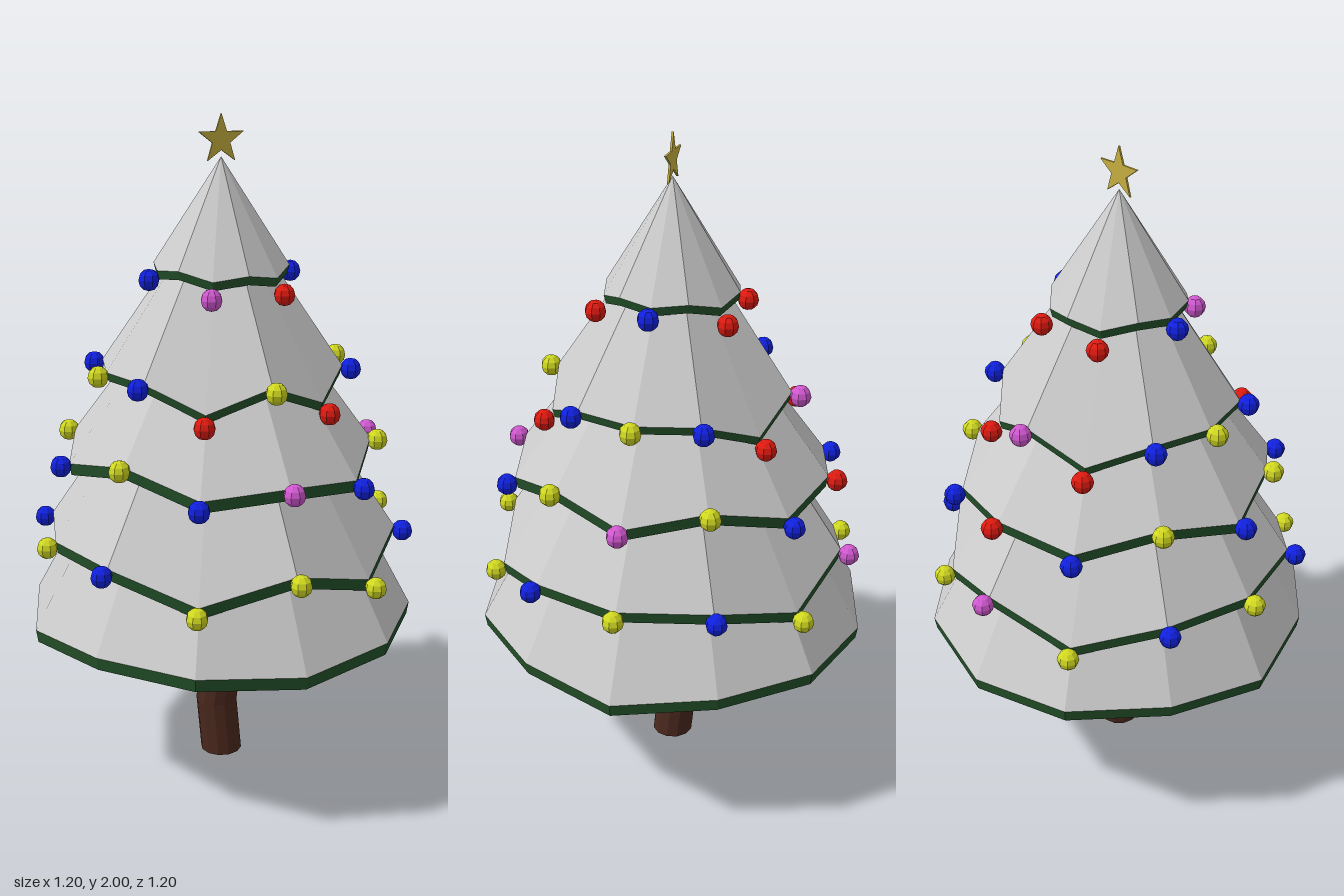
import * as THREE from 'three';

const SIDES = 12;
const mat = (color) => new THREE.MeshStandardMaterial({ color, flatShading: true });

// ring of points around the y axis; r and y may vary with the index
const ring = (r, y, cx = 0, cz = 0) => Array.from({ length: SIDES }, (_, i) => {
  const a = (i / SIDES) * Math.PI * 2;
  const rr = typeof r === 'function' ? r(i) : r;
  const yy = typeof y === 'function' ? y(i) : y;
  return [cx + rr * Math.cos(a), yy, cz + rr * Math.sin(a)];
});

// faceted skin through rings listed from underside to top
function loft(rings) {
  const pos = rings.flat(2);
  const index = [];
  for (let k = 0; k < rings.length - 1; k++) {
    for (let i = 0; i < SIDES; i++) {
      const j = (i + 1) % SIDES;
      const a = k * SIDES + i, b = k * SIDES + j, c = a + SIDES, d = b + SIDES;
      index.push(a, c, d, a, d, b);
    }
  }
  const g = new THREE.BufferGeometry();
  g.setAttribute('position', new THREE.Float32BufferAttribute(pos, 3));
  g.setIndex(index);
  g.computeVertexNormals();
  return g;
}

// the wavy rims repeat each quarter as 0, 30, 60, 90 degrees, mirrored
const quarter = (values) => (i) => values[i % 6 <= 3 ? i % 6 : 6 - (i % 6)];

// rim radius and height per quarter, apex height, bauble colours, radii and heights
const TIERS = [
  { r: [0.6, 0.585, 0.6, 0.6], y: [0.515, 0.535, 0.53, 0.515], apex: 1.6, thick: 0.038 },
  { r: [0.53, 0.53, 0.53, 0.53], y: [0.785, 0.785, 0.71, 0.785], apex: 1.56, thick: 0.035,
    baubles: 'YBYYYBYBYMYB', br: [0.555, 0.555, 0.555, 0.555], by: [0.77, 0.77, 0.69, 0.77] },
  { r: [0.48, 0.45, 0.48, 0.48], y: [1.02, 1.06, 1.0, 1.025], apex: 1.66, thick: 0.035,
    baubles: 'MYBMBYBYBRBY', br: [0.505, 0.47, 0.505, 0.505], by: [1.015, 1.055, 0.98, 1.015] },
  { r: [0.36, 0.36, 0.36, 0.36], y: [1.28, 1.28, 1.21, 1.28], apex: 1.8, thick: 0.025,
    baubles: 'YBRYRBYBRMRB', br: [0.385, 0.385, 0.385, 0.385], by: [1.27, 1.27, 1.18, 1.27] },
  { r: [0.2, 0.2, 0.2, 0.2], y: [1.565, 1.575, 1.55, 1.565], apex: 1.88, thick: 0.025,
    baubles: 'B R M B R R ', br: [0.225, 0.225, 0.225, 0.225], by: [1.54, 1.54, 1.505, 1.54] },
];

export function createModel() {
  const model = new THREE.Group();
  const add = (parent, name, geometry, material) => {
    const mesh = new THREE.Mesh(geometry, material);
    mesh.name = name;
    parent.add(mesh);
    return mesh;
  };

  const snow = mat(0xcccccc), green = mat(0x24522a);
  const baubleMats = { R: mat(0xdd1a10), B: mat(0x1020dd), Y: mat(0xd0d820), M: mat(0xd058d0) };
  const ball = new THREE.SphereGeometry(0.032, 8, 6);

  // crooked trunk
  add(model, 'trunk', loft([
    ring(0, 0),
    ring(0.065, 0),
    ring(0.065, 0.17, -0.01, -0.015),
    ring(0.066, 0.34, 0.007, 0),
    ring(0.062, 0.56, 0, 0.022),
  ]), mat(0x4a281d));

  // tiers: pale cone, green rim and underside, baubles at the rim corners
  TIERS.forEach((t, n) => {
    const tier = new THREE.Group();
    tier.name = 'tier' + (n + 1);
    const r = quarter(t.r), y = quarter(t.y);
    const rimTop = ring(r, y);
    const rimBottom = ring((i) => r(i) - 0.006, (i) => y(i) - t.thick);
    add(tier, 'snowCone', loft([rimTop, ring(0, t.apex)]), snow);
    add(tier, 'greenRim', loft([ring(0, t.y[0] + 0.01), rimBottom, rimTop]), green);

    if (t.baubles) {
      const spots = ring(quarter(t.br), quarter(t.by));
      [...t.baubles].forEach((c, i) => {
        if (c !== ' ') add(tier, 'bauble', ball, baubleMats[c]).position.set(...spots[i]);
      });
    }
    model.add(tier);
  });

  // thin five-pointed star
  const points = Array.from({ length: 10 }, (_, i) => {
    const a = Math.PI / 2 + (i * Math.PI) / 5, d = i % 2 ? 0.029 : 0.073;
    return new THREE.Vector2(d * Math.cos(a), d * Math.sin(a));
  });
  const starGeometry = new THREE.ExtrudeGeometry(new THREE.Shape(points), { depth: 0.006, bevelEnabled: false });
  add(model, 'star', starGeometry, mat(0xc8b040)).position.set(0, 1.927, -0.003);

  return model;
}
